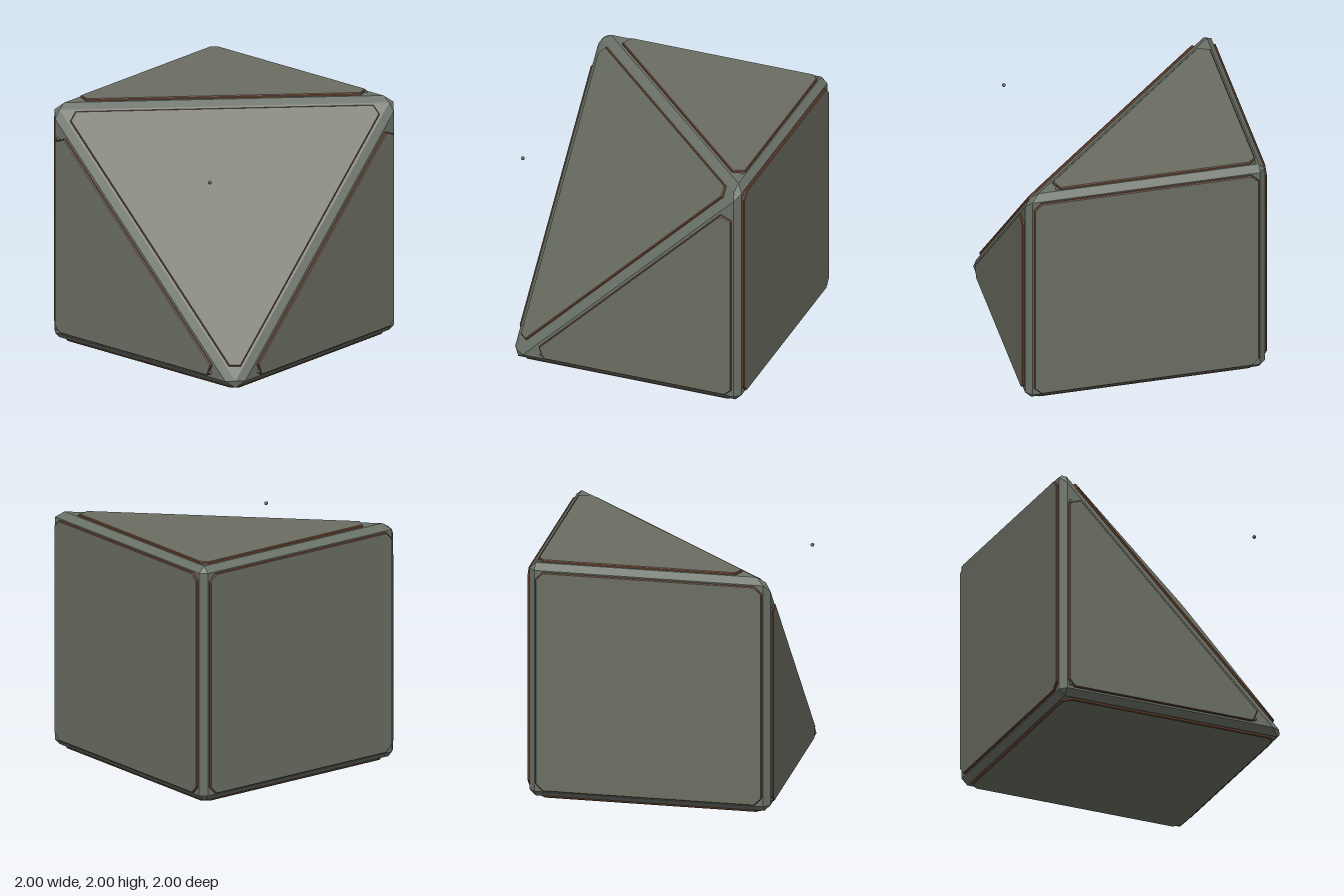
import * as THREE from 'three';
import { ConvexGeometry } from 'three/addons/geometries/ConvexGeometry.js';

const v = (x, y, z) => new THREE.Vector3(x, y, z);
const X = v(1, 0, 0), Y = v(0, 1, 0), Z = v(0, 0, 1);
const HALF = 0.98;   // frame half size
const SLOPE = 0.96;  // cut plane: x + y + z = SLOPE

export function createModel() {
  const frameMat = new THREE.MeshStandardMaterial({ color: 0x6b7268, flatShading: true });
  frameMat.name = 'frame grey green';
  const panelMat = new THREE.MeshStandardMaterial({ color: 0x6b6e62 });
  panelMat.name = 'panel olive grey';
  const rustMat = new THREE.MeshStandardMaterial({ color: 0x6e4630 });
  rustMat.name = 'rust edge';
  const boltMat = new THREE.MeshStandardMaterial({ color: 0x5c625a });
  boltMat.name = 'bolt grey';

  const model = new THREE.Group();
  model.name = 'cutCornerBlock';
  const block = new THREE.Group();
  block.name = 'block';
  block.position.y = 1;
  model.add(block);

  // Three cyclic orientations: right, up and outward normal
  const sides = [
    { name: 'front', basis: [X, Y, Z] },
    { name: 'right', basis: [Y, Z, X] },
    { name: 'top', basis: [Z, X, Y] },
  ];
  const at = ([r, u, n], a, b, c) =>
    v(0, 0, 0).addScaledVector(r, a).addScaledVector(u, b).addScaledVector(n, c);

  // Frame: hull of every face drawn slightly inward, which bevels all edges
  const points = [];
  const e = 0.93, hyp = -0.06, s = 0.94;
  for (const { basis } of sides) {
    points.push(at(basis, -e, -e, HALF), at(basis, -e, hyp + e, HALF), at(basis, hyp + e, -e, HALF));
    for (const a of [-e, e]) for (const b of [-e, e]) points.push(at(basis, a, b, -HALF));
    points.push(at(basis, s, s, SLOPE - 2 * s));
  }
  const frame = new THREE.Mesh(new ConvexGeometry(points), frameMat);
  frame.name = 'frame';
  block.add(frame);

  // Raised panel with rusty bevelled rim
  function addPanel(name, outline, [r, u, n], base, height) {
    const sink = 0.01, bevel = 0.007;
    const geometry = new THREE.ExtrudeGeometry(
      new THREE.Shape(outline.map(([a, b]) => new THREE.Vector2(a, b))),
      {
        depth: height + sink - bevel, bevelEnabled: true, bevelSegments: 1,
        bevelThickness: bevel, bevelSize: bevel, bevelOffset: -bevel,
      });
    const mesh = new THREE.Mesh(geometry, [panelMat, rustMat]);
    mesh.name = name;
    geometry.applyMatrix4(new THREE.Matrix4().makeBasis(r, u, n)
      .setPosition(n.clone().multiplyScalar(base - sink)));
    block.add(mesh);
  }

  // Triangular panels beside the cut, square panels opposite them
  const triangle = [
    [-0.92, -0.86], [-0.87, -0.915], [0.69, -0.915],
    [0.73, -0.82], [-0.82, 0.73], [-0.92, 0.69],
  ];
  const q = 0.92, c = 0.86;
  const square = [[-q, -c], [-c, -q], [c, -q], [q, -c], [q, c], [c, q], [-c, q], [-q, c]];
  const opposite = { front: 'back', right: 'left', top: 'bottom' };
  for (const { name, basis: [r, u, n] } of sides) {
    addPanel(name + 'Panel', triangle, [r, u, n], HALF, 0.02);
    addPanel(opposite[name] + 'Panel', square, [u, r, n.clone().negate()], HALF, 0.02);
  }

  // Slanted panel: its corners are all the orderings of three coordinates
  const n = v(1, 1, 1).normalize(), r = v(1, -1, 0).normalize();
  const u = n.clone().cross(r);
  const [a, b, d] = [-0.81, 0.87, 0.935];
  const slant = [[a, b, d], [a, d, b], [b, a, d], [d, a, b], [b, d, a], [d, b, a]]
    .map((p) => v(...p))
    .map((p) => [p.dot(r), p.dot(u)])
    .sort((p, k) => Math.atan2(p[1], p[0]) - Math.atan2(k[1], k[0]));
  addPanel('slantedPanel', slant, [r, u, n], SLOPE / Math.sqrt(3), 0.02);

  // Corner bolts, one of them standing free before the slanted face
  const boltGeometry = new THREE.SphereGeometry(0.015, 10, 8);
  const bolts = [
    [-0.9, 0.71, 0.98], [-0.9, -0.89, 0.98], [0.71, -0.89, 0.98], [0.705, 0.71, 0.98],
    [-0.9, 0.98, -0.9], [0.71, 0.98, -0.9], [0.98, -0.89, 0.71],
  ];
  bolts.forEach((p, i) => {
    const bolt = new THREE.Mesh(boltGeometry, boltMat);
    bolt.name = 'bolt' + (i + 1);
    bolt.position.set(...p);
    block.add(bolt);
  });

  return model;
}
